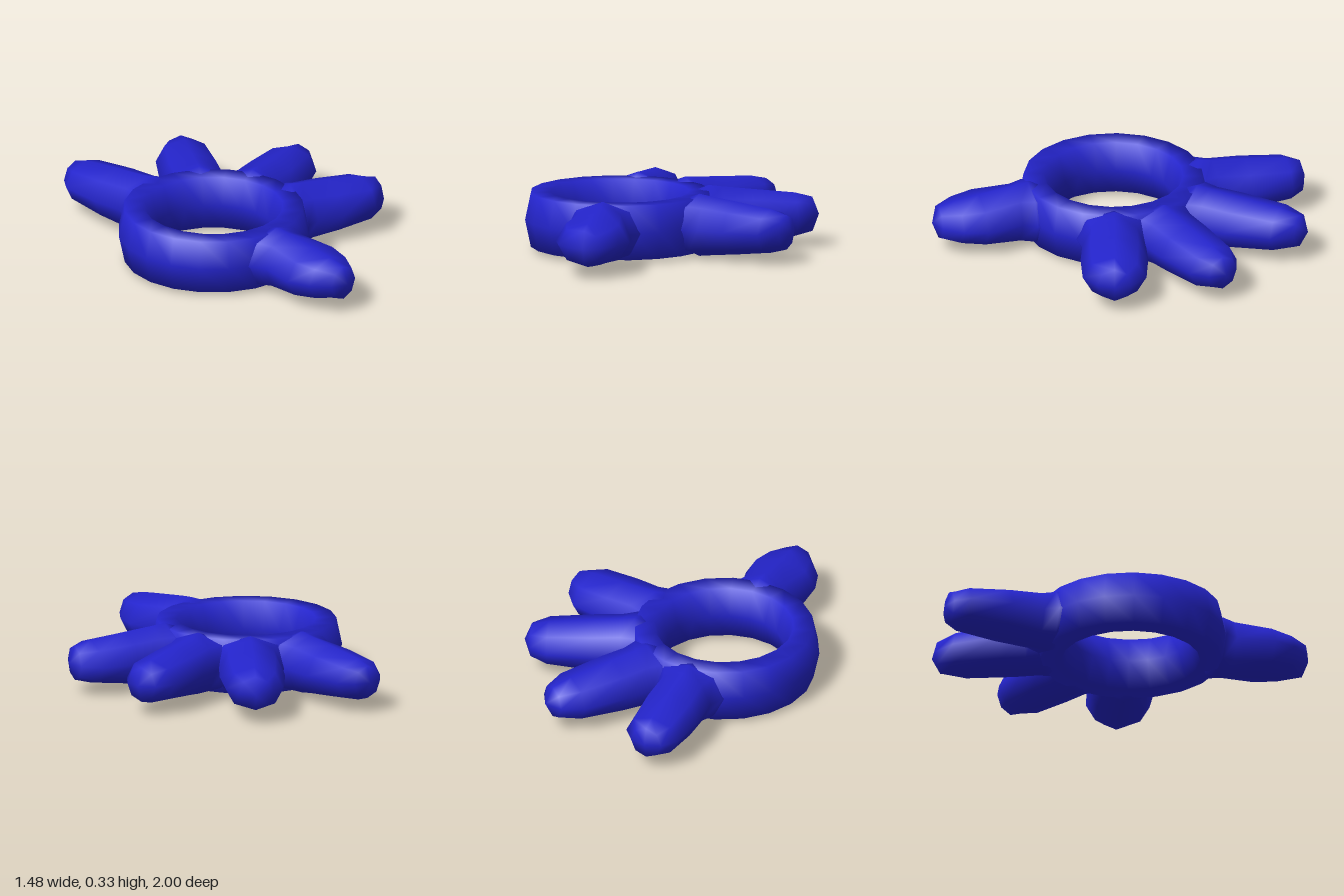
import * as THREE from 'three';
import { mergeVertices } from 'three/addons/utils/BufferGeometryUtils.js';

const blue = new THREE.MeshStandardMaterial({ color: 0x2424cc });
blue.name = 'blue';

// Hexagonal-section band with smooth normals
function ringGeometry() {
  const profile = [
    [0.495, 0], [0.465, 0.142], [0.36, 0.142], [0.315, 0],
    [0.36, -0.142], [0.465, -0.142], [0.495, 0],
  ].map(([r, y]) => new THREE.Vector2(r, y));
  const lathe = new THREE.LatheGeometry(profile, 20);
  lathe.deleteAttribute('normal');
  lathe.deleteAttribute('uv');
  const g = mergeVertices(lathe, 1e-4);
  g.computeVertexNormals();
  return g;
}

// Rounded lobe along +x from stations [distance, halfWidth, halfHeight], closed by a tip
function lobeGeometry(stations, tip, sides = 8) {
  const pos = [], index = [];
  for (const [x, w, h] of stations) {
    for (let j = 0; j < sides; j++) {
      const t = (j / sides) * Math.PI * 2;
      pos.push(x, h * Math.sin(t), w * Math.cos(t));
    }
  }
  const last = (stations.length - 1) * sides;
  const tipIndex = pos.length / 3;
  pos.push(tip, 0, 0, stations[0][0], 0, 0);
  for (let j = 0; j < sides; j++) {
    const k = (j + 1) % sides;
    for (let i = 0; i < last; i += sides) {
      index.push(i + j, i + sides + j, i + sides + k, i + j, i + sides + k, i + k);
    }
    index.push(last + j, tipIndex, last + k);
    index.push(j, k, tipIndex + 1);
  }
  const g = new THREE.BufferGeometry();
  g.setAttribute('position', new THREE.Float32BufferAttribute(pos, 3));
  g.setIndex(index);
  g.computeVertexNormals();
  return g;
}

export function createModel() {
  const model = new THREE.Group();
  model.name = 'ringWithLobes';

  const body = new THREE.Group();
  body.name = 'body';
  body.position.set(-0.245, 0.163, 0.025);
  model.add(body);

  const ring = new THREE.Mesh(ringGeometry(), blue);
  ring.name = 'ring';
  body.add(ring);

  // Flared root shared by every lobe
  const root = [[0.385, 0.24, 0.135], [0.46, 0.19, 0.163]];

  // Lobes radiate from the ring centre; angle in degrees, 90 points to the back
  const lobes = [
    { name: 'backLobe', angle: 90, tip: 1.025,
      body: [[0.53, 0.155, 0.152], [0.705, 0.165, 0.134], [0.925, 0.145, 0.108], [1.0, 0.085, 0.085]] },
    { name: 'backLeftLobe', angle: 54, tip: 1.07,
      body: [[0.53, 0.165, 0.154], [0.665, 0.17, 0.14], [0.915, 0.15, 0.114], [1.025, 0.088, 0.088]] },
    { name: 'leftLobe', angle: 18.5, tip: 1.035,
      body: [[0.53, 0.165, 0.154], [0.68, 0.165, 0.138], [0.91, 0.147, 0.114], [1.0, 0.087, 0.09]] },
    { name: 'frontLeftLobe', angle: -15.5, tip: 0.995,
      body: [[0.53, 0.165, 0.154], [0.68, 0.175, 0.138], [0.875, 0.165, 0.114], [0.965, 0.09, 0.09]] },
    { name: 'frontLobe', angle: -90, tip: 0.975,
      body: [[0.53, 0.155, 0.156], [0.725, 0.195, 0.13], [0.845, 0.158, 0.113], [0.94, 0.087, 0.09]] },
  ];
  for (const lobe of lobes) {
    const mesh = new THREE.Mesh(lobeGeometry([...root, ...lobe.body], lobe.tip), blue);
    mesh.name = lobe.name;
    mesh.rotation.y = THREE.MathUtils.degToRad(lobe.angle);
    body.add(mesh);
  }
  return model;
}
